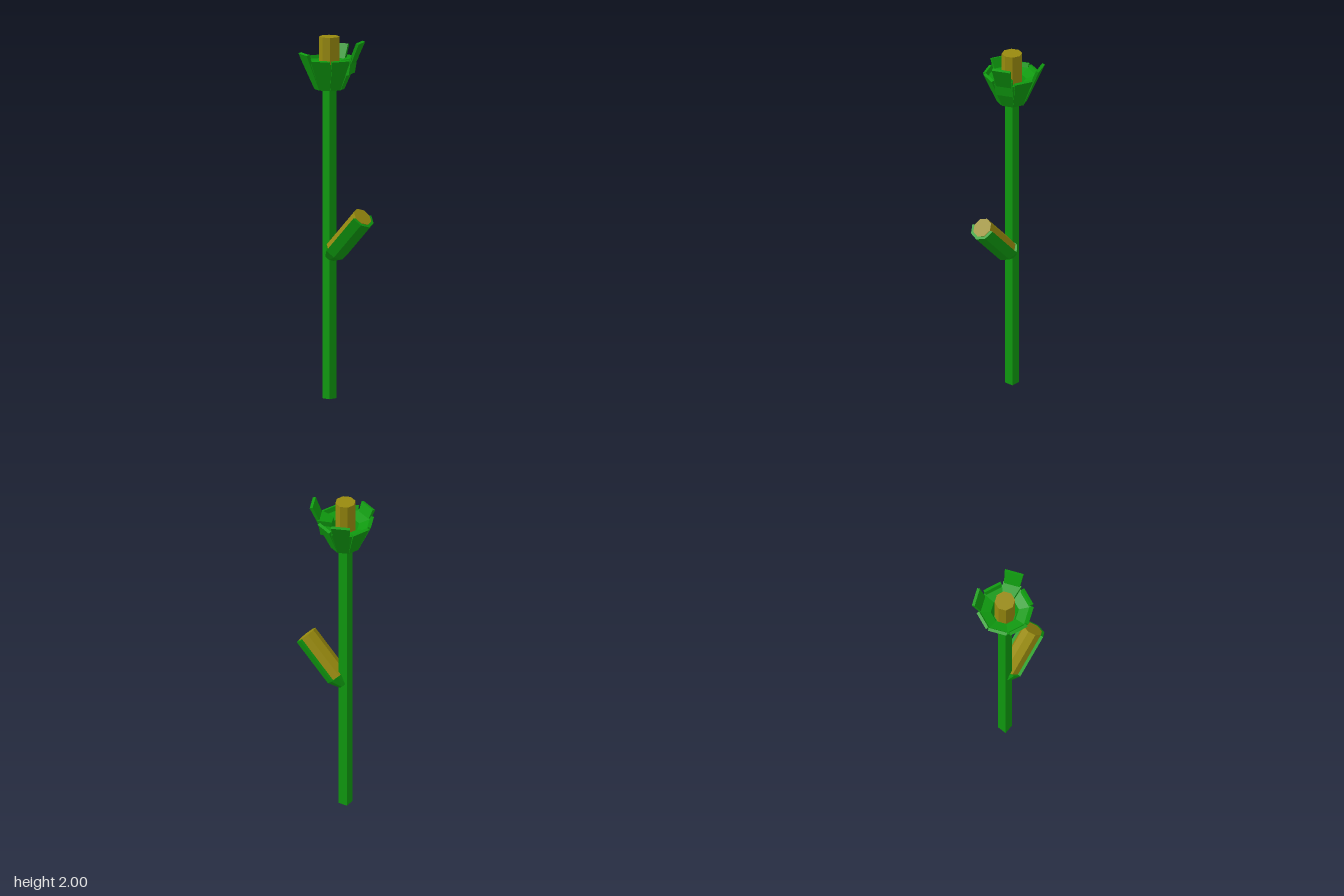
import * as THREE from 'three';

const green = new THREE.MeshStandardMaterial({ color: 0x0f9a0f });
green.name = 'leaf green';
green.flatShading = true;
const ochre = new THREE.MeshStandardMaterial({ color: 0x988a0e });
ochre.name = 'cob ochre';
ochre.flatShading = true;

function part(name, geometry, material, parent, x = 0, y = 0, z = 0) {
  const mesh = new THREE.Mesh(geometry, material);
  mesh.name = name;
  mesh.position.set(x, y, z);
  parent.add(mesh);
  return mesh;
}

// Move every vertex by a rule.
function reshape(geometry, rule) {
  const p = geometry.attributes.position;
  const v = new THREE.Vector3();
  for (let i = 0; i < p.count; i++) {
    rule(v.fromBufferAttribute(p, i));
    p.setXYZ(i, v.x, v.y, v.z);
  }
  geometry.computeVertexNormals();
  return geometry;
}

// Six-sided block; each level lists the inner and outer edge as [halfWidth, y, radius].
function block(low, high) {
  return reshape(new THREE.BoxGeometry(2, 1, 1), (v) => {
    const [w, y, r] = (v.y > 0 ? high : low)[v.z > 0 ? 1 : 0];
    v.set(v.x * w, y, r);
  });
}

export function createModel() {
  const model = new THREE.Group();
  model.name = 'cornStalk';
  const stemX = -0.07;

  part('stalk', new THREE.BoxGeometry(0.055, 1.73, 0.055), green, model, stemX, 0.865, 0);

  // Upper ear: cob standing in an open octagonal cup
  const ear = new THREE.Group();
  ear.name = 'upperEar';
  ear.position.x = stemX;
  model.add(ear);
  part('upperCob', new THREE.CylinderGeometry(0.056, 0.056, 0.27, 8), ochre, ear, 0, 1.865, 0);
  const cup = [[0, 1.71], [0.08, 1.71], [0.146, 1.865], [0.077, 1.845], [0.06, 1.77], [0, 1.77]];
  part('huskCup', new THREE.LatheGeometry(cup.map((c) => new THREE.Vector2(...c)), 8), green, ear);

  // Husk leaves, one per cup side, each with its own height
  const heights = [1.885, 1.885, 1.915, 1.885, 1.88, 1.94, 1.885, 1.978];
  heights.forEach((h, i) => {
    const r = 0.076 + 0.42 * (h - 1.71);
    const leaf = part('huskLeaf', block(
      [[0.028, 1.71, 0.06], [0.031, 1.71, 0.076]],
      [[0.052, h, r - 0.016], [0.053, h - 0.005, r]],
    ), green, ear);
    leaf.rotation.y = Math.PI / 2 - (i + 0.5) * Math.PI / 4;
  });

  // Raised inner lip beside the tallest leaf
  const lip = part('huskLip', block(
    [[0.025, 1.78, 0.062], [0.05, 1.8, 0.13]],
    [[0.029, 1.875, 0.07], [0.053, 1.895, 0.145]],
  ), green, ear);
  lip.rotation.y = Math.PI / 2 + Math.PI / 8;

  // Side ear: tilted cob lying in a half husk; local +x is its underside
  const side = new THREE.Group();
  side.name = 'sideEar';
  side.position.set(0.175, 1.03, 0);
  side.rotation.z = -Math.PI / 4;
  model.add(side);
  part('sideCob', new THREE.CylinderGeometry(0.056, 0.056, 0.285, 8), ochre, side, 0, -0.1425, 0);
  part('sideHusk', reshape(new THREE.CylinderGeometry(0.073, 0.073, 0.282, 8), (v) => {
    v.x = Math.max(v.x, 0);
  }), green, side, 0, -0.144, 0);
  part('sideHuskBase', reshape(new THREE.CylinderGeometry(0.073, 0.036, 0.06, 8), (v) => {
    if (v.x < 0 && v.y > 0) v.x *= 0.78;
  }), green, side, 0, -0.314, 0);

  return model;
}
